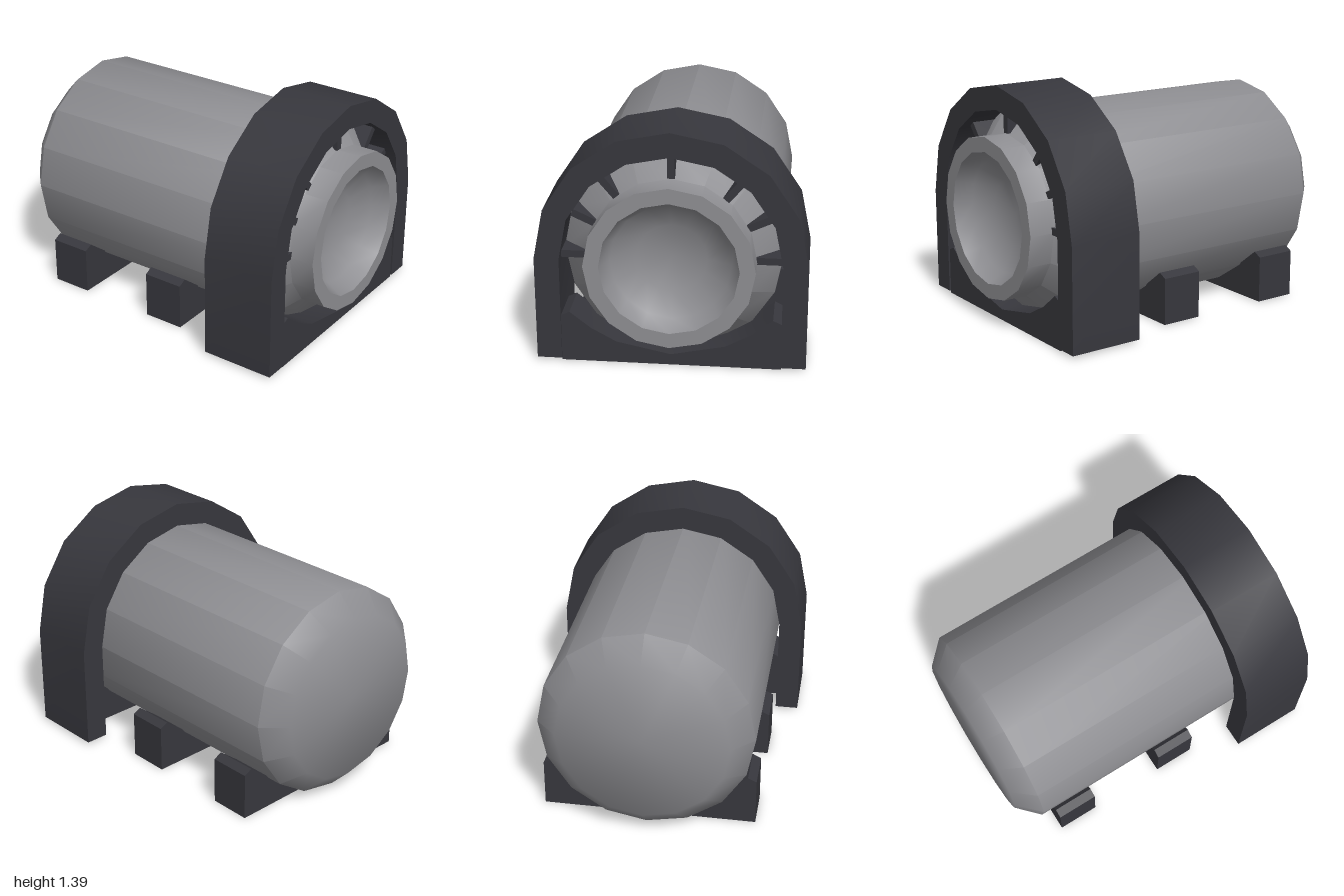
import * as THREE from 'three';
import { toCreasedNormals } from 'three/addons/utils/BufferGeometryUtils.js';

const CY = 0.63;      // height of the barrel axis
const R = 0.622;      // barrel radius
const SIDES = 16;

export function createModel() {
  const model = new THREE.Group();
  model.name = 'tank';
  const grey = new THREE.MeshStandardMaterial({ color: 0x8e8e92 });
  grey.name = 'grey metal';
  const dark = new THREE.MeshStandardMaterial({ color: 0x37373d });
  dark.name = 'dark metal';

  const add = (name, geometry, material, parent = model) => {
    const mesh = new THREE.Mesh(geometry, material);
    mesh.name = name;
    parent.add(mesh);
    return mesh;
  };

  // Extrude a front-plane outline between two depths
  const slab = (shape, z0, z1) => {
    const g = new THREE.ExtrudeGeometry(shape, { depth: z1 - z0, bevelEnabled: false });
    g.translate(0, 0, z0);
    return toCreasedNormals(g, 0.75);
  };

  // Barrel: chamfered back, front shoulder, short neck with a dished mouth
  const profile = [
    [0, -1], [0.495, -1], [R, -0.875], [R, 0.72], [0.478, 0.85], [0.478, 1],
    [0.39, 1], [0.34, 0.9], [0.2, 0.83], [0, 0.8],
  ].map(([r, z]) => new THREE.Vector2(r, z));
  const barrel = new THREE.LatheGeometry(profile, SIDES);
  barrel.rotateX(Math.PI / 2);
  barrel.translate(0, CY, 0);
  add('barrel', toCreasedNormals(barrel, 0.85), grey);

  // Arch hoop with straight legs around the front of the barrel
  const arc = (r) => Array.from({ length: SIDES / 2 + 1 }, (_, i) => {
    const a = (i / SIDES) * Math.PI * 2;
    return new THREE.Vector2(r * Math.cos(a), CY + r * Math.sin(a));
  });
  const archShape = new THREE.Shape([
    new THREE.Vector2(0.765, 0.015), ...arc(0.765), new THREE.Vector2(-0.765, 0.015),
    new THREE.Vector2(-0.624, 0.015), ...arc(0.624).reverse(), new THREE.Vector2(0.624, 0.015),
  ]);
  add('arch', slab(archShape, 0.475, 0.92), dark);

  // Fins on the front shoulder
  const fins = new THREE.Group();
  fins.name = 'fins';
  model.add(fins);
  for (const deg of [0, 25, 50, 90, 130, 155, 180]) {
    const pivot = new THREE.Group();
    pivot.name = 'finPivot';
    pivot.position.set(0, CY + (deg % 90 ? 0.005 : 0.012), 0);
    pivot.rotation.z = THREE.MathUtils.degToRad(deg);
    fins.add(pivot);
    const length = deg % 90 ? 0.14 : 0.15;
    add('fin', new THREE.BoxGeometry(length, 0.042, 0.17), dark, pivot)
      .position.set(0.47 + length / 2, 0, 0.775);
  }

  // Three cradles carrying the barrel
  const half = [[0.31, 0.13], [0.455, 0.21], [0.575, 0.305], [0.625, 0.28], [0.625, 0]];
  const cradleShape = new THREE.Shape([
    new THREE.Vector2(0, 0.065),
    ...half.map(([x, y]) => new THREE.Vector2(x, y)),
    ...half.slice().reverse().map(([x, y]) => new THREE.Vector2(-x, y)),
  ]);
  for (const z of [0.785, 0.065, -0.655]) {
    add('cradle', slab(cradleShape, z - 0.125, z + 0.125), dark);
  }

  return model;
}
